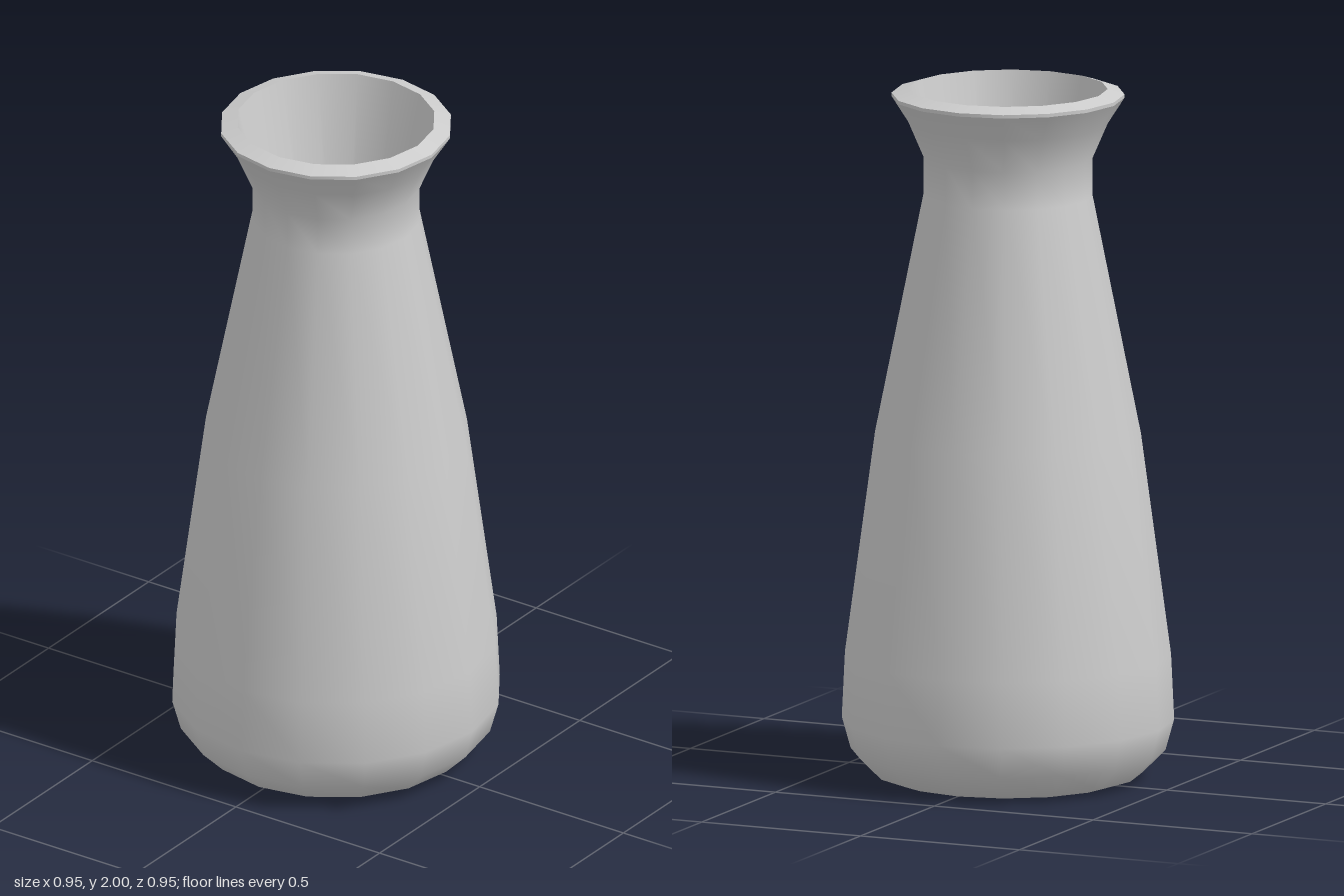
import * as THREE from 'three';

const SIDES = 16;

export function createModel() {
  const group = new THREE.Group();
  group.name = 'vase';
  const material = new THREE.MeshStandardMaterial({ color: 0xcccccc });

  // Each smooth stretch of the profile is its own lathe, so the edges between stay sharp.
  // Points run up the outside, over the rim and down the inside.
  const turned = (name, profile) => {
    const points = profile.map(([r, y]) => new THREE.Vector2(r, y));
    const mesh = new THREE.Mesh(new THREE.LatheGeometry(points, SIDES), material);
    mesh.name = name;
    group.add(mesh);
  };

  // Outer wall: rounded foot, tapering body, flared neck
  turned('body', [
    [0.34, 0], [0.385, 0.015], [0.45, 0.08], [0.475, 0.17], [0.466, 0.36],
    [0.38, 1.0], [0.242, 1.69], [0.242, 1.8], [0.285, 1.9], [0.333, 1.975],
  ]);

  // Lip: thin edge and sloping top
  turned('lipEdge', [[0.333, 1.975], [0.333, 1.985]]);
  turned('lipTop', [[0.333, 1.985], [0.285, 2.0]]);

  // Inside: funnel down to a narrow waist, then a hollow opening to the base
  turned('funnel', [[0.285, 2.0], [0.078, 1.1]]);
  turned('baseHollow', [[0.078, 1.1], [0.34, 0]]);

  return group;
}
